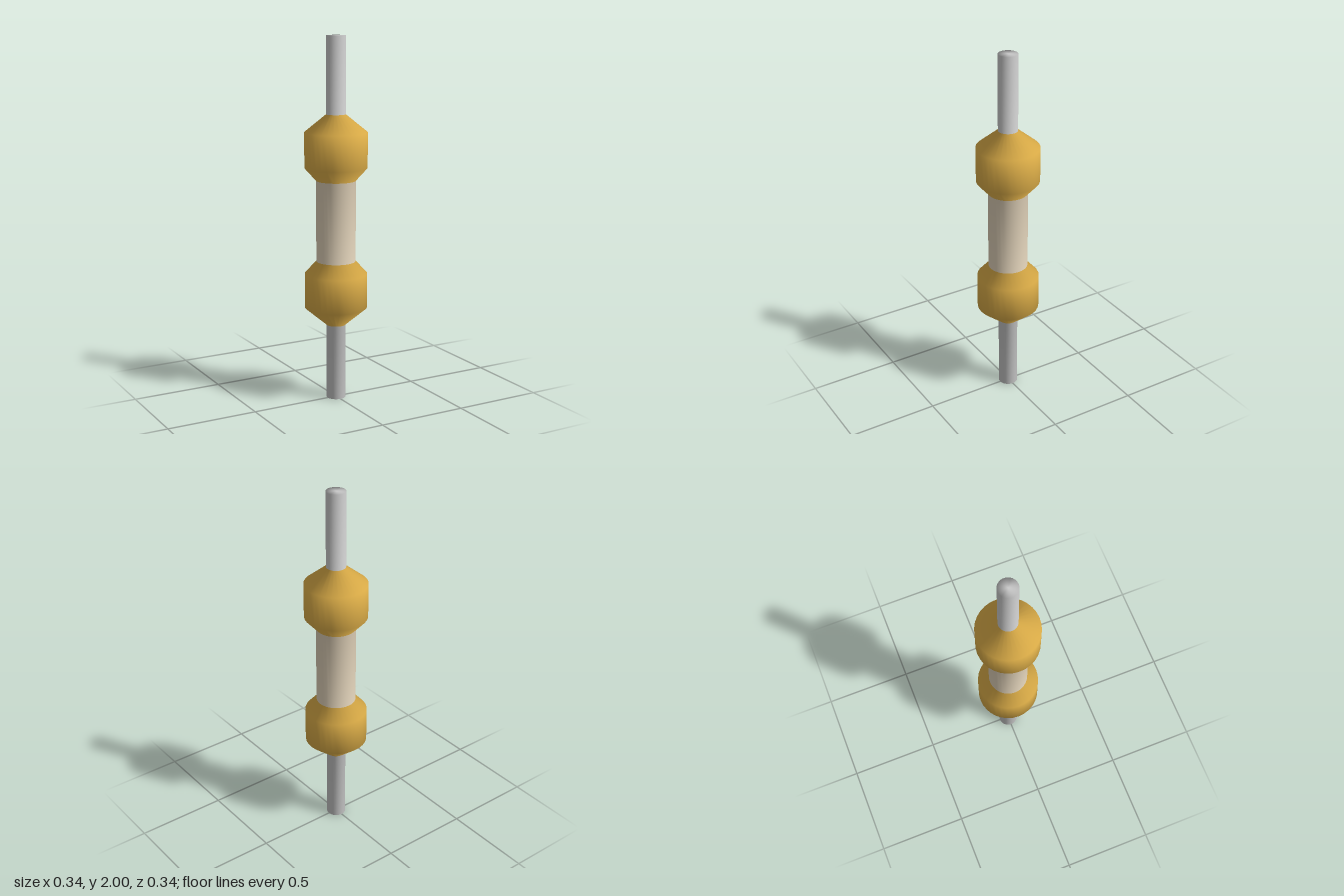
import * as THREE from 'three';

const SIDES = 32;
const LEAD = 0.053, CAP = 0.171, BODY = 0.108;

// Radius and height along the axis, from bottom to top
const profile = [
  [0, 0], [LEAD, 0],
  [LEAD, 0.42], [CAP, 0.52], [CAP, 0.71], [BODY, 0.78],
  [BODY, 1.225], [CAP, 1.295], [CAP, 1.487], [LEAD, 1.583],
  [LEAD, 2], [0, 2],
].map(([r, y]) => new THREE.Vector2(r, y));

// Keep the bands from profile point a to b, with normals blended across neighbours
function bands(full, a, b) {
  const geometry = full.clone();
  const perSide = (profile.length - 1) * 6;
  const index = [];
  for (let i = 0; i < SIDES; i++) {
    for (let k = a * 6; k < b * 6; k++) index.push(full.index.getX(i * perSide + k));
  }
  geometry.setIndex(index);
  return geometry;
}

export function createModel() {
  const group = new THREE.Group();
  const full = new THREE.LatheGeometry(profile, SIDES);
  const grey = new THREE.MeshStandardMaterial({ color: 0xcccccc });
  const gold = new THREE.MeshStandardMaterial({ color: 0xe2b24a });
  const cream = new THREE.MeshStandardMaterial({ color: 0xe2d3ba });

  const parts = [
    ['lowerLead', grey, 0, 2],
    ['lowerCap', gold, 2, 5],
    ['body', cream, 5, 6],
    ['upperCap', gold, 6, 9],
    ['upperLead', grey, 9, 11],
  ];
  for (const [name, material, a, b] of parts) {
    const mesh = new THREE.Mesh(bands(full, a, b), material);
    mesh.name = name;
    group.add(mesh);
  }
  return group;
}
